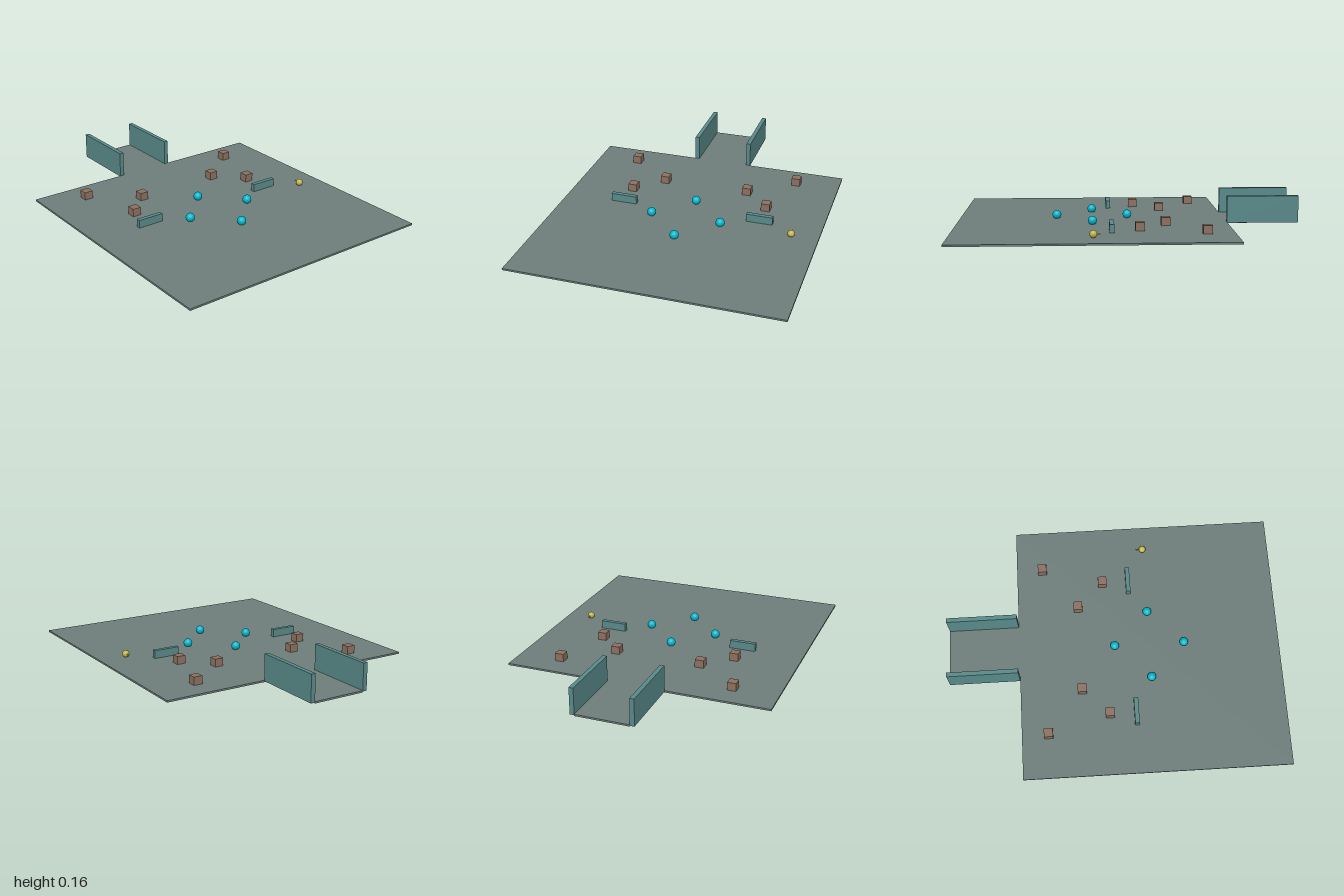
import * as THREE from 'three';

const U = 0.05263; // one layout unit
const GROUND = 0.1; // height of the slab's mid-plane, in units

export function createModel() {
  const model = new THREE.Group();
  model.name = 'arena';

  const material = (name, color) => {
    const m = new THREE.MeshStandardMaterial({ color });
    m.name = name;
    return m;
  };
  const floorGrey = material('floorGrey', 0x6d7d7a);
  const wallTeal = material('wallTeal', 0x588888);
  const crateBrown = material('crateBrown', 0x8b7060);
  const orbCyan = material('orbCyan', 0x00b4ca);
  const markerGold = material('markerGold', 0xc4b64c);

  // Positions are in layout units, measured from the centre of the square floor
  const add = (name, geometry, mat, x, y, z, parent = model) => {
    const mesh = new THREE.Mesh(geometry, mat);
    mesh.name = name;
    mesh.position.set(x * U, (y + GROUND) * U, (z + 4) * U);
    parent.add(mesh);
    return mesh;
  };
  const box = (w, h, d) => new THREE.BoxGeometry(w * U, h * U, d * U);
  const ball = (r) => new THREE.SphereGeometry(r * U, 32, 20);

  // Square floor and the corridor leading away at the back
  add('floor', box(30, 0.2, 30), floorGrey, 0, 0, 0);
  add('corridorFloor', box(6, 0.2, 8), floorGrey, 0, 0, -19);

  // Mirrored corridor walls, low barriers and crates
  for (const [side, label] of [[1, 'left'], [-1, 'right']]) {
    add(`${label}CorridorWall`, box(0.5, 3, 8), wallTeal, side * 3.25, 1.5, -19);
    add(`${label}Barrier`, box(3, 1, 0.5), wallTeal, side * 8, 0.5, -2);
    [[10, -12], [5, -8], [8, -5]].forEach(([x, z], i) => {
      add(`${label}Crate${i + 1}`, box(1, 1, 1), crateBrown, side * x, 0.5, z);
    });
  }

  // Diamond of four orbs
  [[0, -4], [4, 0], [0, 4], [-4, 0]].forEach(([x, z], i) => {
    add(`orb${i + 1}`, ball(0.5), orbCyan, x, 0.5, z);
  });

  // Gold marker with a short pointer towards the back
  const marker = new THREE.Group();
  marker.name = 'marker';
  model.add(marker);
  add('markerBall', ball(0.4), markerGold, 12, 0.5, 0, marker);
  const pointer = new THREE.CylinderGeometry(0.07 * U, 0.07 * U, 0.5 * U, 12);
  add('markerPointer', pointer, markerGold, 12, 0.5, -0.5, marker).rotation.x = Math.PI / 2;

  return model;
}
